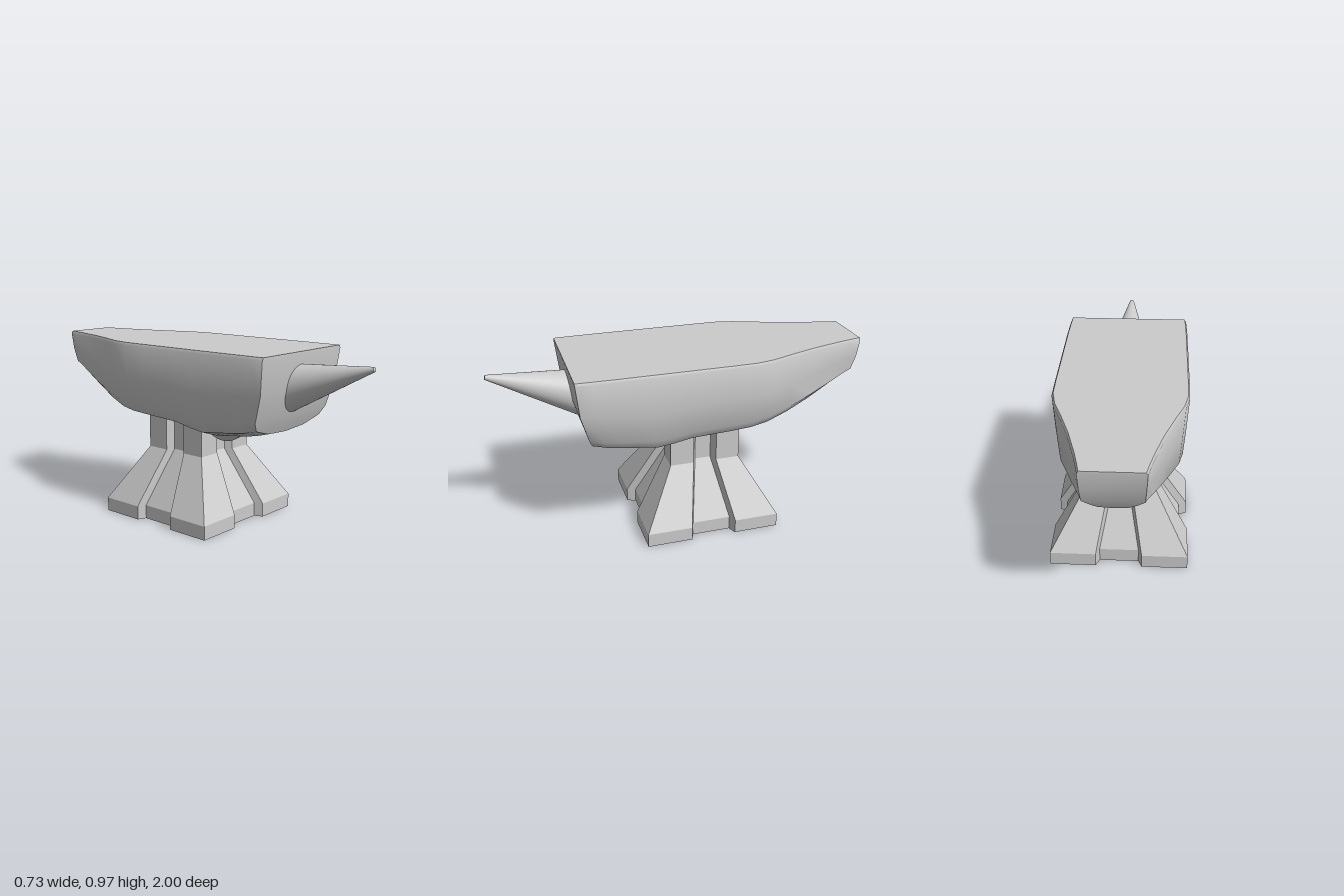
import * as THREE from 'three';
import { toCreasedNormals } from 'three/addons/utils/BufferGeometryUtils.js';

// Join equal-length closed loops of [x, y, z] points with quads, plus optional cap faces
function loft(loops, caps, crease) {
  const n = loops[0].length, idx = [];
  for (let s = 0; s < loops.length - 1; s++) {
    for (let j = 0; j < n; j++) {
      const a = s * n + j, b = s * n + (j + 1) % n;
      idx.push(a, b, b + n, a, b + n, a + n);
    }
  }
  idx.push(...caps);
  const g = new THREE.BufferGeometry();
  g.setAttribute('position', new THREE.Float32BufferAttribute(loops.flat(2), 3));
  g.setIndex(idx);
  return toCreasedNormals(g, crease);
}

// Anvil body: lofted from the front face to the narrow heel
function bodyGeometry() {
  const H = 0.97;
  // [z at top, z at bottom, half width at top, half width at bottom, keel height]
  const stations = [
    [0.60, 0.50, 0.335, 0.305, 0.55],
    [0.52, 0.43, 0.338, 0.31, 0.53],
    [0.40, 0.36, 0.34, 0.312, 0.515],
    [0.30, 0.28, 0.34, 0.315, 0.505],
    [0.18, 0.18, 0.34, 0.317, 0.49],
    [0.09, 0.09, 0.34, 0.32, 0.505],
    [0.00, 0.00, 0.34, 0.322, 0.525],
    [-0.20, -0.20, 0.34, 0.322, 0.535],
    [-0.33, -0.33, 0.338, 0.315, 0.54],
    [-0.43, -0.43, 0.318, 0.295, 0.55],
    [-0.56, -0.56, 0.27, 0.25, 0.575],
    [-0.70, -0.70, 0.223, 0.21, 0.625],
    [-0.86, -0.83, 0.18, 0.17, 0.685],
    [-0.94, -0.90, 0.162, 0.15, 0.72],
    [-1.00, -0.94, 0.15, 0.14, 0.74],
  ];
  const loops = stations.map(([zt, zb, w, wb, yc]) => {
    const h = H - yc, k = h / 0.45;
    const half = [
      [0, H], [w - 0.008, H], [w, H - 0.015],
      [wb + (w - wb) * 0.5, yc + h * 0.55],
      [wb, yc + 0.1 * k], [wb - 0.035, yc + 0.05 * k],
      [wb * 0.5, yc + 0.012 * k], [0, yc],
    ];
    const ring = half.concat(half.slice(1, -1).reverse().map(([x, y]) => [-x, y]));
    return ring.map(([x, y]) => [x, y, zt + (zb - zt) * ((H - y) / h) ** 2]);
  });
  // End faces: horizontal strips between matching left and right points
  const n = loops[0].length, last = (loops.length - 1) * n, caps = [];
  for (let i = 1; i < n / 2; i++) {
    const tris = [[n - i, i + 1, i]];
    if (i < n / 2 - 1) tris.push([n - i, n - i - 1, i + 1]);
    for (const [a, b, c] of tris) caps.push(a, b, c, last + a, last + c, last + b);
  }
  return loft(loops, caps, 0.6);
}

// Pedestal: square sections with a splayed groove in the middle of each side
function pedestalGeometry() {
  // [height, half size, outer groove half width, inner groove half width, groove depth]
  const levels = [
    [0, 0.367, 0.123, 0.104, 0.045],
    [0.075, 0.367, 0.123, 0.104, 0.045],
    [0.375, 0.193, 0.064, 0.043, 0.04],
    [0.6, 0.193, 0.064, 0.043, 0.04],
  ];
  const loops = levels.map(([y, h, wo, wi, d]) => {
    const side = [[-h, h], [-wo, h], [-wi, h - d], [wi, h - d], [wo, h]];
    const ring = [];
    for (let q = 0; q < 4; q++) {
      for (const [x, z] of side) ring.push([x, y, z]);
      side.forEach((p) => p.splice(0, 2, p[1], -p[0]));
    }
    return ring;
  });
  // Sole: a fan round a centre point
  const n = loops[0].length, centre = loops.length * n, caps = [];
  for (let j = 0; j < n; j++) caps.push(centre, (j + 1) % n, j);
  const g = loft([...loops, Array.from({ length: n }, () => [0, 0, 0])].slice(0, 4), [], 0.1);
  const sole = new THREE.Shape(loops[0].map(([x, , z]) => new THREE.Vector2(x, z)));
  return [g, new THREE.ShapeGeometry(sole).rotateX(Math.PI / 2)];
}

export function createModel() {
  const group = new THREE.Group();
  const steel = new THREE.MeshStandardMaterial({ color: 0xcccccc });
  const add = (name, geometry, parent = group) => {
    const mesh = new THREE.Mesh(geometry, steel);
    mesh.name = name;
    parent.add(mesh);
    return mesh;
  };

  add('anvilBody', bodyGeometry()).position.x = -0.005;

  // Horn: a long tilted cone running through the front of the body
  const L = 0.945, tilt = 0.28;
  const horn = add('horn', new THREE.CylinderGeometry(0.012, 0.222, L, 48).translate(0, -L / 2, 0));
  horn.position.set(-0.008, 0.918, 0.997);
  horn.rotation.x = Math.PI / 2 - tilt;

  const pedestal = new THREE.Group();
  pedestal.name = 'pedestal';
  pedestal.position.z = -0.103;
  const [walls, sole] = pedestalGeometry();
  add('pedestalWalls', walls, pedestal);
  add('pedestalSole', sole, pedestal);
  group.add(pedestal);
  return group;
}
